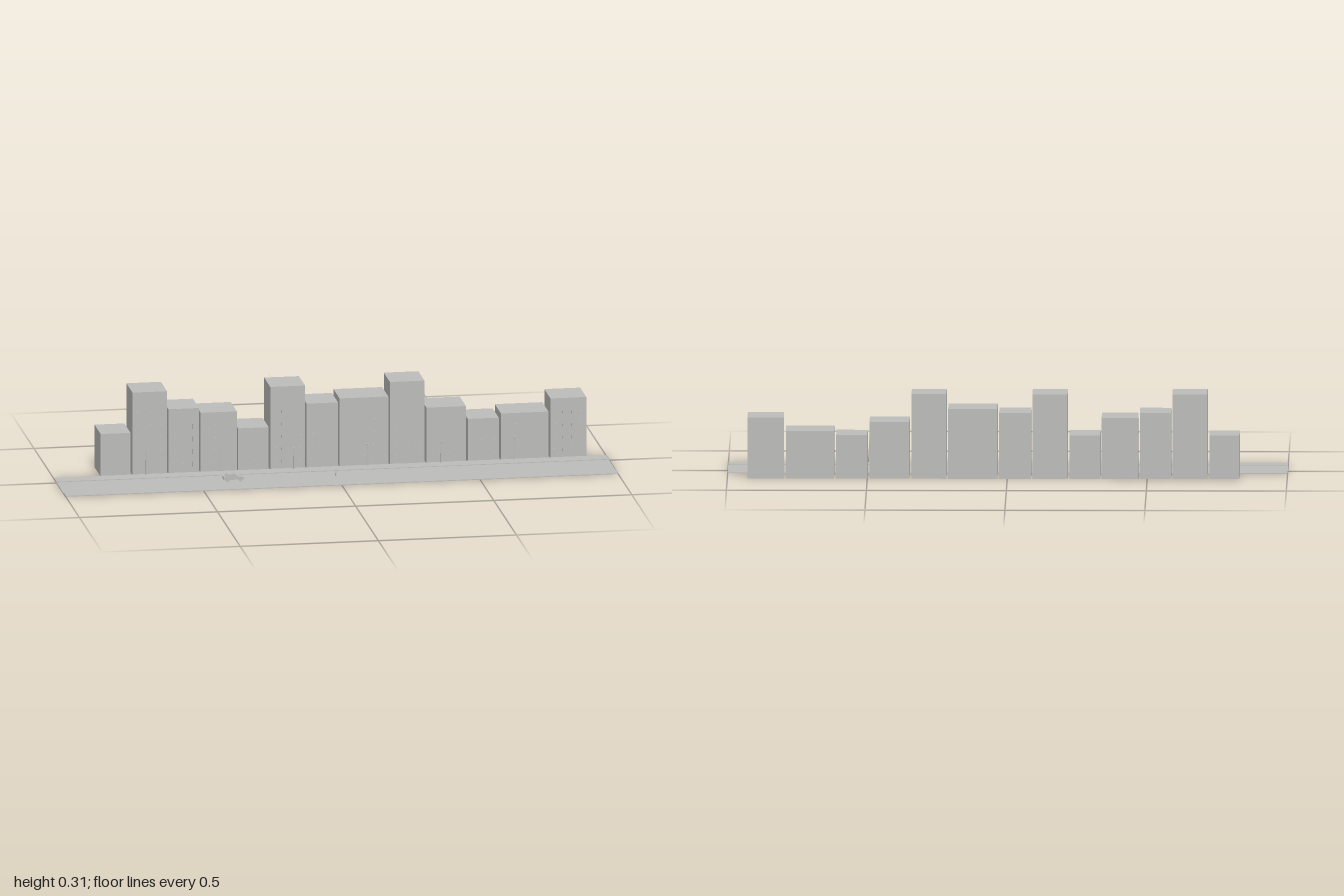
import * as THREE from 'three';

const stone = new THREE.MeshStandardMaterial({ color: 0xbcbcba });
stone.name = 'pale grey';

// Adds a box given its centre in x and z and its bottom in y
function box(parent, name, w, h, d, x, y, z) {
  const mesh = new THREE.Mesh(new THREE.BoxGeometry(w, h, d), stone);
  mesh.name = name;
  mesh.position.set(x, y + h / 2, z);
  parent.add(mesh);
  return mesh;
}

const BACK = -0.2, FRONT = -0.064;

// left edge, right edge, height, window width, window height
const buildings = [
  [-0.83, -0.722, 0.157, 0.009, 0.02],
  [-0.715, -0.59, 0.305, 0.01, 0.022],
  [-0.585, -0.474, 0.238, 0.009, 0.018],
  [-0.468, -0.337, 0.22, 0.014, 0.012],
  [-0.333, -0.222, 0.157, 0.012, 0.014],
  [-0.216, -0.09, 0.305, 0.012, 0.01],
  [-0.085, 0.029, 0.238, 0.012, 0.01],
  [0.035, 0.211, 0.252, 0.012, 0.01],
  [0.217, 0.342, 0.305, 0.012, 0.012],
  [0.349, 0.492, 0.205, 0.012, 0.01],
  [0.499, 0.611, 0.157, 0.012, 0.01],
  [0.619, 0.791, 0.172, 0.01, 0.018],
  [0.798, 0.928, 0.22, 0.012, 0.01],
];

function makeBuilding([x0, x1, height, ww, wh]) {
  const g = new THREE.Group();
  g.name = 'building';
  const width = x1 - x0;
  box(g, 'walls', width, height, FRONT - BACK, (x0 + x1) / 2, 0, (FRONT + BACK) / 2);
  const columns = Math.round(width / 0.036);
  const rows = Math.floor((height - 0.03) / 0.046);
  for (let c = 0; c < columns; c++) {
    const x = x0 + width * (c + 0.5) / columns;
    for (let r = 0; r < rows; r++) {
      const door = r === 0 && c === Math.floor(columns / 2);
      if (door) box(g, 'door', 0.014, 0.034, 0.001, x, 0.003, FRONT + 0.0005);
      else box(g, 'window', ww, wh, 0.001, x, 0.024 + r * 0.046, FRONT + 0.0005);
    }
  }
  return g;
}

function makeLamp(x) {
  const g = new THREE.Group();
  g.name = 'streetLamp';
  const post = new THREE.Mesh(new THREE.CylinderGeometry(0.001, 0.0014, 0.082, 8), stone);
  post.name = 'post';
  post.position.set(0, 0.043, -0.051);
  g.add(post);
  box(g, 'arm', 0.002, 0.002, 0.02, 0, 0.083, -0.042);
  box(g, 'lampHead', 0.004, 0.0015, 0.008, 0, 0.082, -0.036);
  g.position.x = x;
  return g;
}

function makeCar() {
  const g = new THREE.Group();
  g.name = 'car';
  // Side outline: long bonnet towards +x, cabin further back
  const outline = [
    [-0.037, 0.007], [-0.037, 0.017], [-0.031, 0.019], [-0.022, 0.027], [0.001, 0.028],
    [0.013, 0.019], [0.033, 0.016], [0.037, 0.012], [0.037, 0.007],
  ].map(([x, y]) => new THREE.Vector2(x, y));
  const body = new THREE.Mesh(
    new THREE.ExtrudeGeometry(new THREE.Shape(outline), { depth: 0.03, bevelEnabled: false }), stone);
  body.name = 'carBody';
  body.position.z = -0.015;
  g.add(body);
  for (const x of [-0.023, 0.023]) {
    for (const z of [-0.0135, 0.0135]) {
      const wheel = new THREE.Mesh(new THREE.CylinderGeometry(0.0065, 0.0065, 0.005, 16), stone);
      wheel.name = 'wheel';
      wheel.rotation.x = Math.PI / 2;
      wheel.position.set(x, 0.0065, z);
      g.add(wheel);
    }
  }
  g.position.set(-0.372, 0, 0.069);
  return g;
}

function makePerson() {
  const g = new THREE.Group();
  g.name = 'pedestrian';
  for (const side of [-1, 1]) {
    box(g, 'leg', 0.002, 0.013, 0.002, 0, 0, side * 0.0015);
    box(g, 'arm', 0.0015, 0.01, 0.0015, 0, 0.013, side * 0.0033);
  }
  box(g, 'torso', 0.0025, 0.011, 0.005, 0, 0.013, 0);
  const head = new THREE.Mesh(new THREE.SphereGeometry(0.0022, 10, 8), stone);
  head.name = 'head';
  head.position.y = 0.0262;
  g.add(head);
  g.position.set(0, 0, 0.067);
  return g;
}

export function createModel() {
  const model = new THREE.Group();
  model.name = 'cityStreet';

  // Road with a raised pavement on each side
  box(model, 'road', 2, 0.0006, 0.151, 0, 0, 0.0695);
  box(model, 'rearPavement', 2, 0.003, 0.058, 0, 0, -0.035);
  box(model, 'frontPavement', 2, 0.003, 0.055, 0, 0, 0.1725);

  for (const b of buildings) model.add(makeBuilding(b));
  for (let i = 0; i < 6; i++) model.add(makeLamp(-0.668 + i * 0.267));
  model.add(makeCar(), makePerson());
  return model;
}
